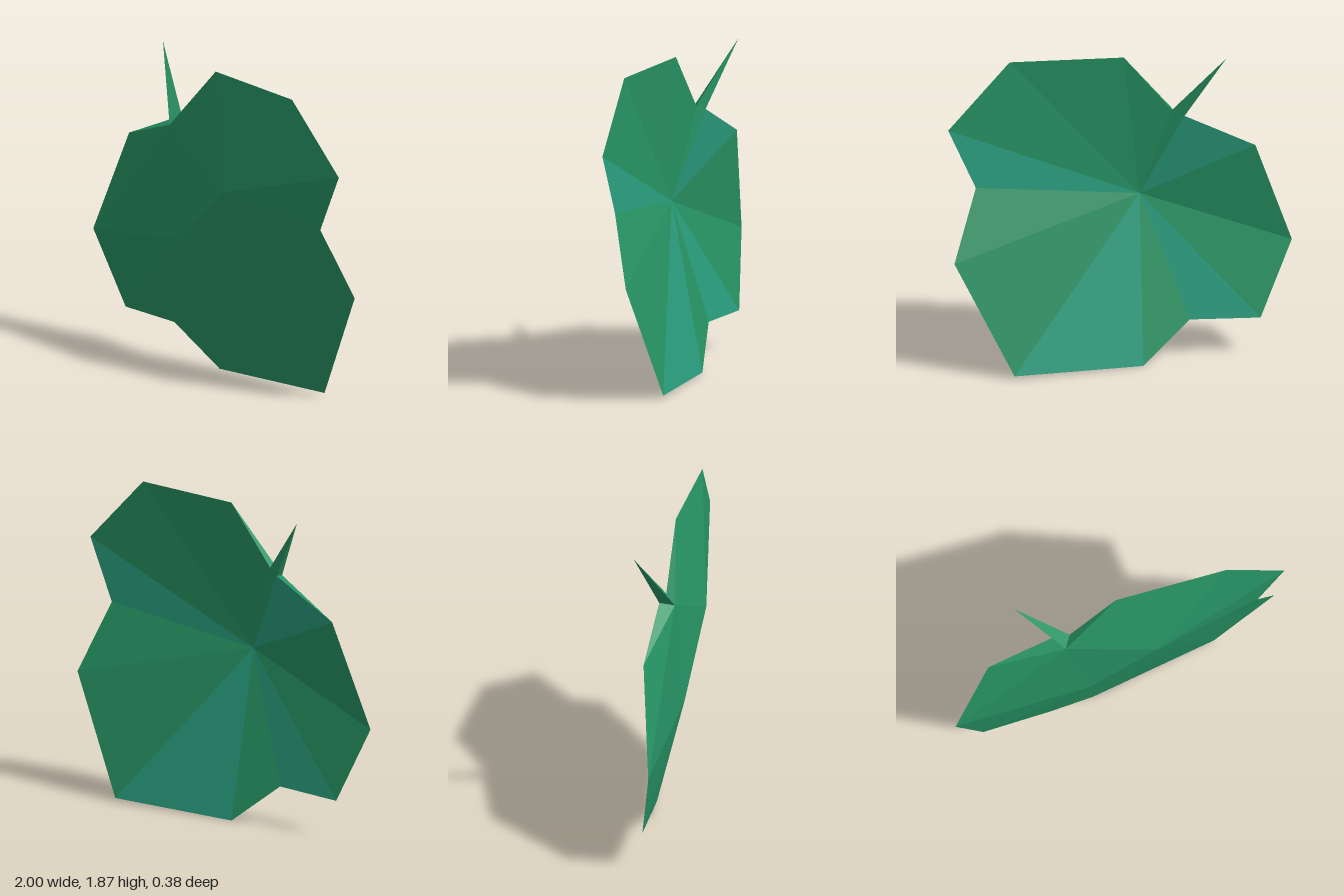
import * as THREE from 'three';

// Corner points of the leaf: a..k, n, m run clockwise round the rim
const pts = {
  a: [-0.02, 1.86, 0.06], b: [0.64, 1.86, 0.06], c: [1.0, 1.47, 0.02], d: [0.84, 1.11, 0.02],
  e: [0.98, 0.7, -0.12], f: [0.64, 0.02, -0.19], g: [-0.12, 0, -0.06], h: [-0.4, 0.235, 0.04],
  i: [-0.81, 0.225, 0.05], j: [-1.0, 0.67, 0.13], k: [-0.78, 1.29, 0.05],
  n: [-0.37, 1.49, 0.045], m: [-0.3, 1.52, 0.07],
  p: [0.19, 1.21, 0.19], q: [-0.21, 0.81, 0.16], r: [-0.34, 1.47, 0.13], // ridge on the front
  s: [-0.12, 0.99, 0.137], // centre of the back
  t: [-0.6, 1.87, -0.05], // stem tip
};

// Flat-shaded mesh from three-letter facets
function facets(name, list, material) {
  const corners = list.flatMap((tri) => [...tri].flatMap((id) => pts[id]));
  const geo = new THREE.BufferGeometry();
  geo.setAttribute('position', new THREE.Float32BufferAttribute(corners, 3));
  geo.computeVertexNormals();
  const mesh = new THREE.Mesh(geo, material);
  mesh.name = name;
  return mesh;
}

export function createModel() {
  const green = new THREE.MeshStandardMaterial({ color: 0x279464, flatShading: true });
  green.name = 'leafGreen';
  const teal = new THREE.MeshStandardMaterial({ color: 0x2a9e7e, flatShading: true });
  teal.name = 'tealGreen';

  const group = new THREE.Group();
  group.name = 'leaf';

  // Front: fan round the upper peak, then the ridge and the left lobe
  const front = ['pqg', 'qhg', 'qih', 'qji', 'qrj', 'rkj', 'rnk', 'prq', 'par', 'ram'];
  for (let i = 0; i < 6; i++) front.push('p' + 'abcdefg'[i + 1] + 'abcdefg'[i]);
  group.add(facets('leafFront', front, green));

  // Back: a full fan round its centre, with a few teal facets
  const rim = 'abcdefghijknm';
  const fan = [...rim].map((id, i) => 's' + id + rim[(i + 1) % rim.length]);
  const tealFacets = ['scd', 'sfg', 'shi', 'skn'];
  group.add(facets('leafBack', fan.filter((x) => !tealFacets.includes(x)), green));
  group.add(facets('leafBackTeal', tealFacets, teal));

  // Pointed stem rising from the notch
  group.add(facets('stem', ['rmt', 'nrt', 'mnt'], green));
  return group;
}
